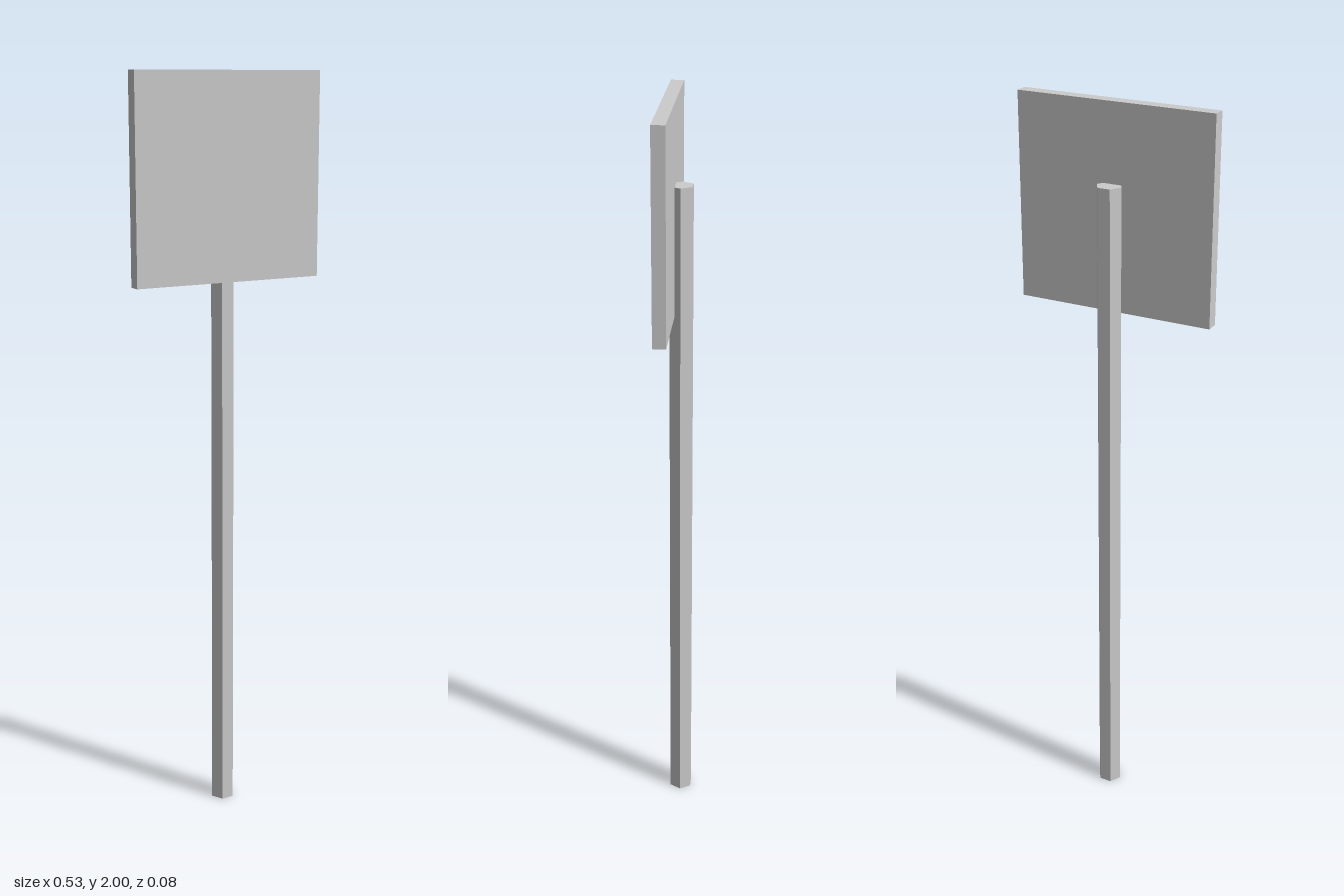
import * as THREE from 'three';

export function createModel() {
  const model = new THREE.Group();
  model.name = 'signpost';
  const material = new THREE.MeshStandardMaterial({ color: 0xcccccc, flatShading: true });

  const addPart = (name, geometry, x, y, z) => {
    const mesh = new THREE.Mesh(geometry, material);
    mesh.name = name;
    mesh.position.set(x, y, z);
    model.add(mesh);
  };

  // Hexagonal post, corners pointing sideways, flat faces front and back
  const postHeight = 1.8;
  const postRadius = 0.0335;
  const post = new THREE.CylinderGeometry(postRadius, postRadius, postHeight, 6, 1, false, Math.PI / 6);
  addPart('post', post, 0.005, postHeight / 2, -0.0105);

  // Square board fixed to the front of the post, rising above its top
  const boardSize = 0.528;
  addPart('signBoard', new THREE.BoxGeometry(boardSize, boardSize, 0.034), 0, 2 - boardSize / 2, 0.0215);

  return model;
}
